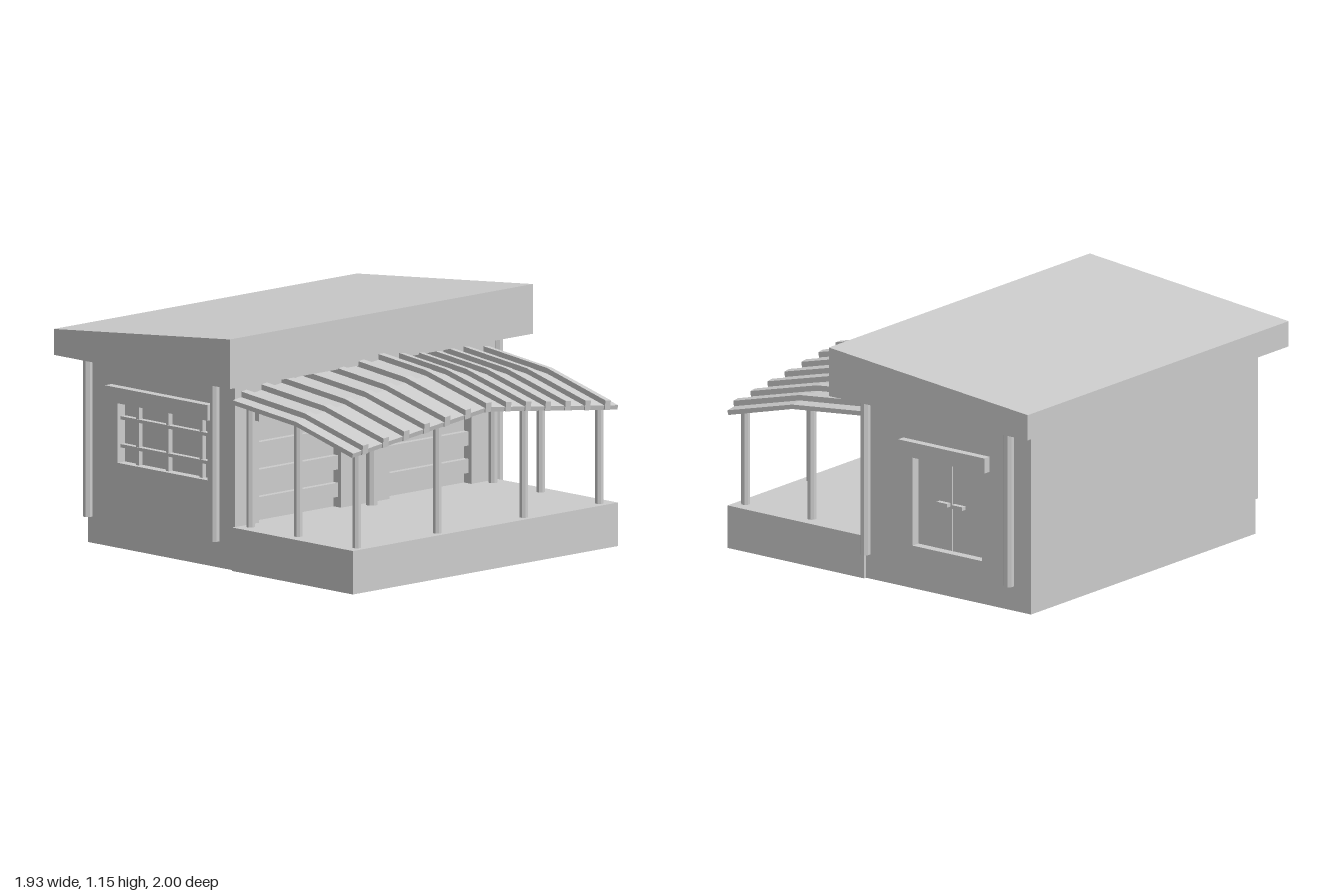
import * as THREE from 'three';

const mat = new THREE.MeshStandardMaterial({ color: 0xcccccc, flatShading: true, side: THREE.DoubleSide });

export function createModel() {
  const model = new THREE.Group();

  const add = (name, geometry, parent = model) => {
    const mesh = new THREE.Mesh(geometry, mat);
    mesh.name = name;
    parent.add(mesh);
    return mesh;
  };
  // Box given by its extents
  const box = (name, x0, x1, y0, y1, z0, z1, parent) => {
    const mesh = add(name, new THREE.BoxGeometry(x1 - x0, y1 - y0, z1 - z0), parent);
    mesh.position.set((x0 + x1) / 2, (y0 + y1) / 2, (z0 + z1) / 2);
    return mesh;
  };
  // Upright eight-sided pole
  const pole = (name, x, z, y0, y1, r) => {
    const geo = new THREE.CylinderGeometry(r, r, y1 - y0, 8);
    geo.rotateY(Math.PI / 8);
    add(name, geo).position.set(x, (y0 + y1) / 2, z);
  };
  const outline = (pts) => new THREE.Shape(pts.map(([x, y]) => new THREE.Vector2(x, y)));
  const rect = (x0, x1, y0, y1) => [[x0, y0], [x1, y0], [x1, y1], [x0, y1]];
  // Wall slab with rectangular openings, drawn in xy and extruded along z
  const slab = (name, bounds, holes, depth) => {
    const shape = outline(rect(...bounds));
    holes.forEach((h) => shape.holes.push(outline(rect(...h))));
    return add(name, new THREE.ExtrudeGeometry(shape, { depth, bevelEnabled: false }));
  };

  // House walls: solid core plus slabs with recessed openings
  const T = 0.05;
  box('houseCore', -0.88, 0.07, 0, 0.91, -0.81, 0.81);
  slab('frontWall', [-0.88, 0.12, 0, 0.91], [[-0.68, -0.065, 0.41, 0.71]], T).position.z = 0.81;
  slab('backWall', [-0.88, 0.12, 0, 0.91], [[-0.585, -0.165, 0.21, 0.66]], T).position.z = -0.86;
  const sideWall = slab('sideWall', [-0.81, 0.81, 0, 0.91],
    [[-0.7, -0.16, 0.21, 0.71], [0.16, 0.7, 0.21, 0.71]], T);
  sideWall.rotation.y = Math.PI / 2;
  sideWall.position.x = 0.07;

  // Sloping main roof
  const roof = outline([[-0.97, 0.91], [0.23, 0.91], [0.23, 1.15], [-0.97, 1.035]]);
  add('mainRoof', new THREE.ExtrudeGeometry(roof, { depth: 2, bevelEnabled: false })).position.z = -1;

  // Front window bars and hood
  const win = new THREE.Group();
  win.name = 'frontWindow';
  model.add(win);
  for (const x of [-0.57, -0.367, -0.137]) box('windowUpright', x - 0.009, x + 0.009, 0.41, 0.71, 0.81, 0.835, win);
  for (const y of [0.49, 0.625]) box('windowRail', -0.68, -0.065, y - 0.008, y + 0.008, 0.81, 0.84, win);
  box('windowHood', -0.72, -0.02, 0.71, 0.785, 0.86, 0.905, win);

  // Back double door
  const door = new THREE.Group();
  door.name = 'backDoor';
  model.add(door);
  for (const [x0, x1] of [[-0.582, -0.378], [-0.372, -0.168]]) box('doorLeaf', x0, x1, 0.212, 0.658, -0.82, -0.81, door);
  for (const x of [-0.42, -0.33]) box('doorHandle', x - 0.032, x + 0.032, 0.43, 0.448, -0.845, -0.815, door);
  box('doorHood', -0.63, -0.11, 0.66, 0.735, -0.9, -0.86, door);

  // Slatted shutters facing the porch
  for (const s of [-1, 1]) {
    const shutter = new THREE.Group();
    shutter.name = s > 0 ? 'frontShutter' : 'backShutter';
    model.add(shutter);
    for (let i = 0; i < 4; i++) {
      const y = 0.26 + i * 0.1325;
      const slat = box('shutterSlat', 0.07, 0.1, y, Math.min(y + 0.068, 0.71), -0.27, 0.27, shutter);
      slat.position.z = s * 0.43;
    }
    box('shutterHood', 0.12, 0.16, 0.71, 0.785, -0.31, 0.31, shutter).position.z = s * 0.43;
  }

  // Downpipes under the eaves
  for (const x of [-0.805, 0.06]) for (const z of [-0.935, 0.935]) pole('downpipe', x, z, 0.145, 0.91, 0.025);

  // Porch floor
  box('porchBase', 0.115, 0.94, 0, 0.21, -0.875, 0.875);

  // Canopy: a bent profile that rises to a ridge at z = 0
  const profile = [[0.12, 0.825], [0.55, 0.78], [0.935, 0.68]];
  const canopyPart = (z0, z1, low, high, extra) => {
    const pts = profile.map(([x, y], i) => (i === 2 ? [x + extra, y - extra * 0.25] : [x, y]));
    const shape = outline([
      ...pts.map(([x, y]) => [x, y + low]),
      ...pts.map(([x, y], i) => [x + (i === 2 ? 0.006 : 0), y + high]).reverse(),
    ]);
    const geo = new THREE.ExtrudeGeometry(shape, { depth: z1 - z0, bevelEnabled: false });
    geo.translate(0, 0, z0);
    const p = geo.attributes.position;
    for (let i = 0; i < p.count; i++) {
      const rise = 1 - Math.abs(p.getZ(i)) / 0.875;
      const x = p.getX(i);
      p.setXYZ(i, x + (x > 0.9 ? 0.015 * rise : 0), p.getY(i) + 0.11 * rise, p.getZ(i));
    }
    geo.computeVertexNormals();
    return geo;
  };
  add('canopySheetFront', canopyPart(0, 0.875, -0.022, 0, 0));
  add('canopySheetBack', canopyPart(-0.875, 0, -0.022, 0, 0));
  for (let i = -6; i <= 6; i++) {
    const z = i * 0.1333;
    add('canopyRib', canopyPart(z - 0.018, z + 0.018, -0.02, 0.027, 0.008));
  }

  // Canopy posts, each reaching the underside of the sheet
  const sheetY = (x, z) => {
    const [a, b] = x < 0.55 ? profile.slice(0, 2) : profile.slice(1);
    const t = (x - a[0]) / (b[0] - a[0]);
    return a[1] + t * (b[1] - a[1]) + 0.11 * (1 - Math.abs(z) / 0.875) - 0.012;
  };
  const posts = [[0.165, 0.8], [0.165, 0], [0.165, -0.8], [0.49, 0.8], [0.49, -0.8],
    [0.89, 0.8], [0.89, 0.27], [0.89, -0.3], [0.89, -0.8]];
  for (const [x, z] of posts) pole('canopyPost', x, z, 0.21, sheetY(x, z), z === 0 ? 0.03 : 0.022);

  return model;
}
